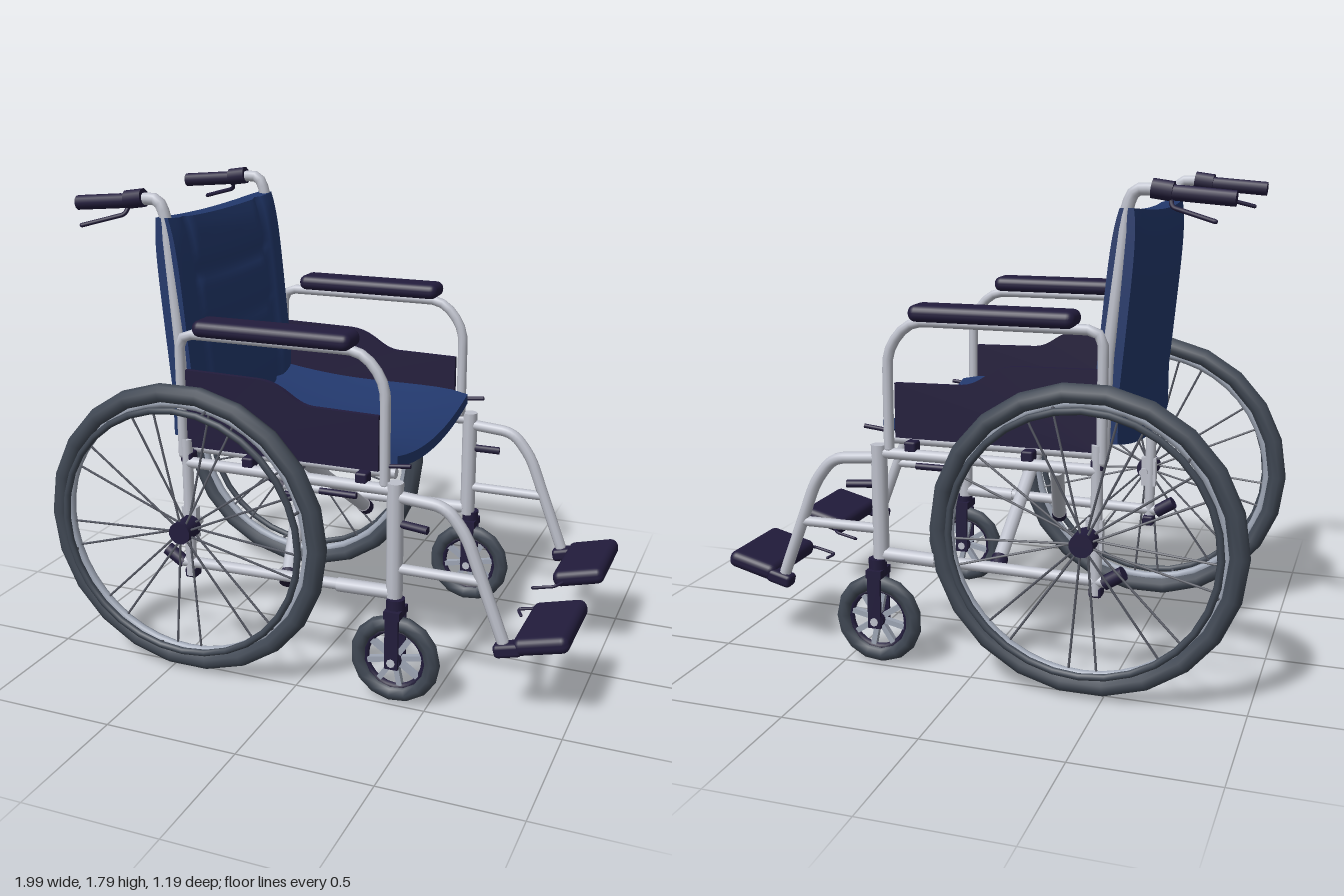
import * as THREE from 'three';
import { RoundedBoxGeometry } from 'three/addons/geometries/RoundedBoxGeometry.js';

const mat = (name, color) => Object.assign(new THREE.MeshStandardMaterial({ color }), { name });
const V = (x, y, z) => new THREE.Vector3(x, y, z);

export function createModel() {
  const root = new THREE.Group();
  root.name = 'wheelchair';
  const frame = mat('frameSilver', 0xbec1cc);
  const dark = mat('darkPlastic', 0x221c3c);
  const blue = mat('blueFabric', 0x22386c);
  const rubber = mat('tyreRubber', 0x3f4753);
  const rimMat = mat('rimMetal', 0x9da5b4);
  const spokeMat = mat('spokeSteel', 0x585b66);

  const add = (name, geo, material, pos = [0, 0, 0], rot = [0, 0, 0], parent = root) => {
    const m = new THREE.Mesh(geo, material);
    m.name = name;
    m.position.set(...pos);
    m.rotation.set(...rot);
    parent.add(m);
    return m;
  };

  // straight rod between two points
  const rod = (name, a, b, r, material, parent = root, sides = 10) => {
    const d = b.clone().sub(a);
    const m = add(name, new THREE.CylinderGeometry(r, r, d.length(), sides), material, [0, 0, 0], [0, 0, 0], parent);
    m.position.copy(a).add(b).multiplyScalar(0.5);
    m.quaternion.setFromUnitVectors(V(0, 1, 0), d.normalize());
    return m;
  };

  // bent tube with rounded corners and capped ends
  const pipe = (name, pts, r, bend, material = frame) => {
    const path = new THREE.CurvePath();
    let from = pts[0];
    for (let i = 1; i < pts.length - 1; i++) {
      const p = pts[i];
      const a = p.clone().add(pts[i - 1].clone().sub(p).setLength(bend));
      const b = p.clone().add(pts[i + 1].clone().sub(p).setLength(bend));
      path.add(new THREE.LineCurve3(from, a));
      path.add(new THREE.QuadraticBezierCurve3(a, p, b));
      from = b;
    }
    path.add(new THREE.LineCurve3(from, pts[pts.length - 1]));
    add(name, new THREE.TubeGeometry(path, 40, r, 10), material);
    for (const e of [pts[0], pts[pts.length - 1]]) add(name + 'End', new THREE.SphereGeometry(r, 10, 6), material, e.toArray());
  };

  // large driving wheel with hand rim, in its own group
  const rearWheel = (s) => {
    const g = new THREE.Group();
    g.name = 'rearWheel';
    g.position.set(-0.427, 0.574, s * 0.53);
    g.scale.x = 1.015;
    root.add(g);
    add('tyre', new THREE.TorusGeometry(0.522, 0.036, 10, 22), rubber, [0, 0, 0], [0, 0, 0], g);
    add('wheelRim', new THREE.TorusGeometry(0.485, 0.018, 8, 44), rimMat, [0, 0, 0], [0, 0, 0], g);
    add('handRim', new THREE.TorusGeometry(0.47, 0.013, 8, 32), rubber, [0, 0, s * 0.052], [0, 0, 0], g);
    add('hub', new THREE.CylinderGeometry(0.042, 0.042, 0.09, 14), dark, [0, 0, 0], [Math.PI / 2, 0, 0], g);
    add('axle', new THREE.CylinderGeometry(0.018, 0.018, 0.14, 10), frame, [0, 0, -s * 0.04], [Math.PI / 2, 0, 0], g);
    for (let i = 0; i < 18; i++) {
      const a = (i / 18) * Math.PI * 2, b = a + (i % 2 ? 0.07 : -0.07);
      rod('spoke', V(0.035 * Math.cos(a), 0.035 * Math.sin(a), (i % 2 ? 1 : -1) * 0.025),
        V(0.48 * Math.cos(b), 0.48 * Math.sin(b), 0), 0.0045, spokeMat, g, 5);
    }
    for (let i = 0; i < 6; i++) {
      const a = (i / 6) * Math.PI * 2 + 0.3, c = Math.cos(a), n = Math.sin(a);
      rod('handRimBracket', V(0.485 * c, 0.485 * n, 0), V(0.47 * c, 0.47 * n, s * 0.05), 0.006, spokeMat, g, 5);
    }
  };

  // small swivelling front wheel
  const caster = (s) => {
    const g = new THREE.Group();
    g.name = 'caster';
    g.position.set(0.375, 0.175, s * 0.462);
    root.add(g);
    add('casterTyre', new THREE.TorusGeometry(0.14, 0.03, 8, 15), rubber, [0, 0, 0], [0, 0, 0], g);
    add('casterRim', new THREE.TorusGeometry(0.112, 0.013, 6, 24), dark, [0, 0, 0], [0, 0, 0], g);
    add('casterHub', new THREE.CylinderGeometry(0.03, 0.03, 0.07, 12), dark, [0, 0, 0], [Math.PI / 2, 0, 0], g);
    for (let i = 0; i < 8; i++) {
      const a = (i / 8) * Math.PI * 2 + 0.2;
      add('casterSpoke', new THREE.BoxGeometry(0.09, 0.02, 0.022), rimMat,
        [0.065 * Math.cos(a), 0.065 * Math.sin(a), 0], [0, 0, a], g);
    }
    for (const t of [-1, 1]) add('forkBlade', new THREE.BoxGeometry(0.05, 0.2, 0.012), dark, [0, 0.075, t * 0.04], [0, 0, 0], g);
    add('forkCrown', new THREE.BoxGeometry(0.06, 0.03, 0.092), dark, [0, 0.183, 0], [0, 0, 0], g);
    add('forkStem', new THREE.CylinderGeometry(0.034, 0.034, 0.05, 12), dark, [0, 0.21, 0], [0, 0, 0], g);
    add('casterBolt', new THREE.CylinderGeometry(0.016, 0.016, 0.1, 8), frame, [0, 0, 0], [Math.PI / 2, 0, 0], g);
  };

  // side panel outline, shared by both sides
  const panel = new THREE.Shape();
  panel.moveTo(-0.45, 0.87);
  panel.lineTo(0.3, 0.87);
  panel.lineTo(0.3, 1.07);
  panel.lineTo(0.05, 1.075);
  panel.bezierCurveTo(-0.03, 1.08, -0.05, 1.15, -0.16, 1.155);
  panel.lineTo(-0.45, 1.16);
  const panelGeo = new THREE.ExtrudeGeometry(panel, { depth: 0.02, bevelEnabled: false });

  for (const s of [1, -1]) {
    const z = s * 0.45;
    rearWheel(s);
    caster(s);

    // main side frame
    pipe('armrestFrame', [V(-0.465, 0.84, z), V(-0.465, 1.295, z), V(0.24, 1.295, z), V(0.325, 1.19, z), V(0.325, 0.83, z)], 0.019, 0.06);
    rod('rearPost', V(-0.45, 0.36, z), V(-0.45, 0.9, z), 0.021, frame);
    rod('frontPost', V(0.365, 0.4, z), V(0.365, 0.84, z), 0.03, frame);
    rod('lowerRail', V(-0.5, 0.41, z), V(0.365, 0.425, z), 0.021, frame);
    rod('lowerRailSleeve', V(0.15, 0.42, z), V(0.35, 0.425, z), 0.026, frame);
    rod('upperRail', V(-0.45, 0.81, z), V(0.365, 0.81, z), 0.021, frame);
    rod('seatRail', V(-0.44, 0.855, s * 0.4), V(0.35, 0.855, s * 0.4), 0.02, frame);
    rod('railPlug', V(-0.55, 0.45, z), V(-0.48, 0.405, z), 0.026, dark);
    for (const [x, y] of [[-0.45, 0.37], [-0.45, 0.83], [0.24, 0.84], [-0.2, 0.84]])
      add('jointClamp', new RoundedBoxGeometry(0.045, 0.04, 0.055, 1, 0.008), dark, [x, y, z - s * 0.012]);
    add('axlePlate', new THREE.BoxGeometry(0.06, 0.12, 0.03), frame, [-0.445, 0.575, z]);
    rod('lockBar', V(0.08, 0.77, z), V(0.22, 0.77, z), 0.012, dark);
    rod('releaseLever', V(0.33, 0.895, z), V(0.42, 0.905, z), 0.008, dark);
    rod('footrestLatch', V(0.38, 0.69, z), V(0.49, 0.685, s * 0.465), 0.015, dark);

    // armrest and side panel
    add('armrestPad', new RoundedBoxGeometry(0.6, 0.06, 0.125, 3, 0.028), dark, [-0.08, 1.332, s * 0.465]);
    add('sidePanel', panelGeo, dark, [0, 0, s * 0.44 - 0.01]);

    // footrest hanger, plate and heel loop
    pipe('footrestHanger', [V(0.365, 0.79, z), V(0.55, 0.775, z), V(0.625, 0.68, z), V(0.765, 0.31, z)], 0.022, 0.05);
    rod('footrestBrace', V(0.365, 0.52, z), V(0.68, 0.52, z), 0.019, frame);
    add('footrestPivot', new RoundedBoxGeometry(0.1, 0.05, 0.06, 2, 0.015), dark, [0.785, 0.285, z], [0, 0, 0.25]);
    add('footPlate', new RoundedBoxGeometry(0.2, 0.065, 0.35, 3, 0.028), dark, [0.9, 0.322, s * 0.305], [0, 0, 0.25]);
    pipe('heelLoop', [V(0.85, 0.3, s * 0.14), V(0.82, 0.29, s * 0.1), V(0.73, 0.27, s * 0.1), V(0.75, 0.26, s * 0.13)], 0.006, 0.015, dark);

    // back tube with push handle and brake lever
    const h = s * 0.405;
    pipe('backTube', [V(-0.465, 0.85, s * 0.43), V(-0.475, 1.2, s * 0.42), V(-0.525, 1.7, h), V(-0.55, 1.765, h), V(-0.7, 1.755, h)], 0.022, 0.035);
    rod('handleGrip', V(-0.885, 1.735, h), V(-0.64, 1.755, h), 0.027, dark);
    rod('gripCollar', V(-0.68, 1.755, h), V(-0.61, 1.765, h), 0.034, dark);
    pipe('brakeLever', [V(-0.67, 1.74, h), V(-0.68, 1.705, s * 0.425), V(-0.83, 1.665, s * 0.475)], 0.008, 0.015, dark);
  }

  // folding cross braces under the seat
  const brace = (a, b) => {
    rod('crossBrace', a, b, 0.026, frame, root, 12);
    for (const [p, q] of [[a, b], [b, a]]) rod('braceEnd', p, p.clone().lerp(q, 0.06), 0.031, dark, root, 12);
  };
  brace(V(-0.06, 0.84, 0.32), V(-0.06, 0.39, -0.38));
  rod('crossBraceRear', V(-0.08, 0.38, 0.38), V(-0.2, 0.7, -0.08), 0.028, frame, root, 12);
  rod('braceEnd', V(-0.075, 0.365, 0.4), V(-0.085, 0.395, 0.36), 0.031, dark, root, 12);

  // reshape a box by a rule on its unit coordinates
  const shaped = (sx, sy, sz, rule) => {
    const g = new THREE.BoxGeometry(1, 1, 1, sx, sy, sz), p = g.attributes.position;
    for (let i = 0; i < p.count; i++) p.setXYZ(i, ...rule(p.getX(i), p.getY(i), p.getZ(i)));
    g.computeVertexNormals();
    return g;
  };

  // sagging seat sling
  add('seat', shaped(12, 2, 18, (x, y, z) => {
    const edge = 4 * z * z, sag = 0.87 + 0.055 * edge + 0.035 * Math.max(0, -x * 2) ** 2;
    return [-0.045 + x * 0.81, sag + y * 0.04 - 0.02 * Math.max(0, x * 2) ** 6, z * 0.84];
  }), blue);

  // padded backrest with stitched channels
  const groove = (v, at, w) => Math.exp(-(((v - at) / w) ** 2));
  add('backrest', shaped(4, 28, 34, (x, y, z) => {
    const v = y + 0.5, u = Math.abs(z * 2);
    const inner = u < 0.7 ? 1 : 0;
    let t = 0.125 * (1 - 0.45 * v ** 10) * (1 - 0.3 * u ** 8);
    if (x > 0) t -= 0.035 * groove(u, 0.7, 0.05) + inner * 0.03 * (groove(v, 0.75, 0.035) + 0.6 * groove(v, 0.5, 0.03));
    const lean = -0.47 - 0.075 * Math.max(0, v - 0.2);
    const top = 0.02 * v * u * u + 0.04 * (1 - v) * u * u;
    return [lean + x * t - 0.02 * (1 - u * u), 0.86 + 0.82 * v + top, z * 0.85];
  }), blue);

  return root;
}
